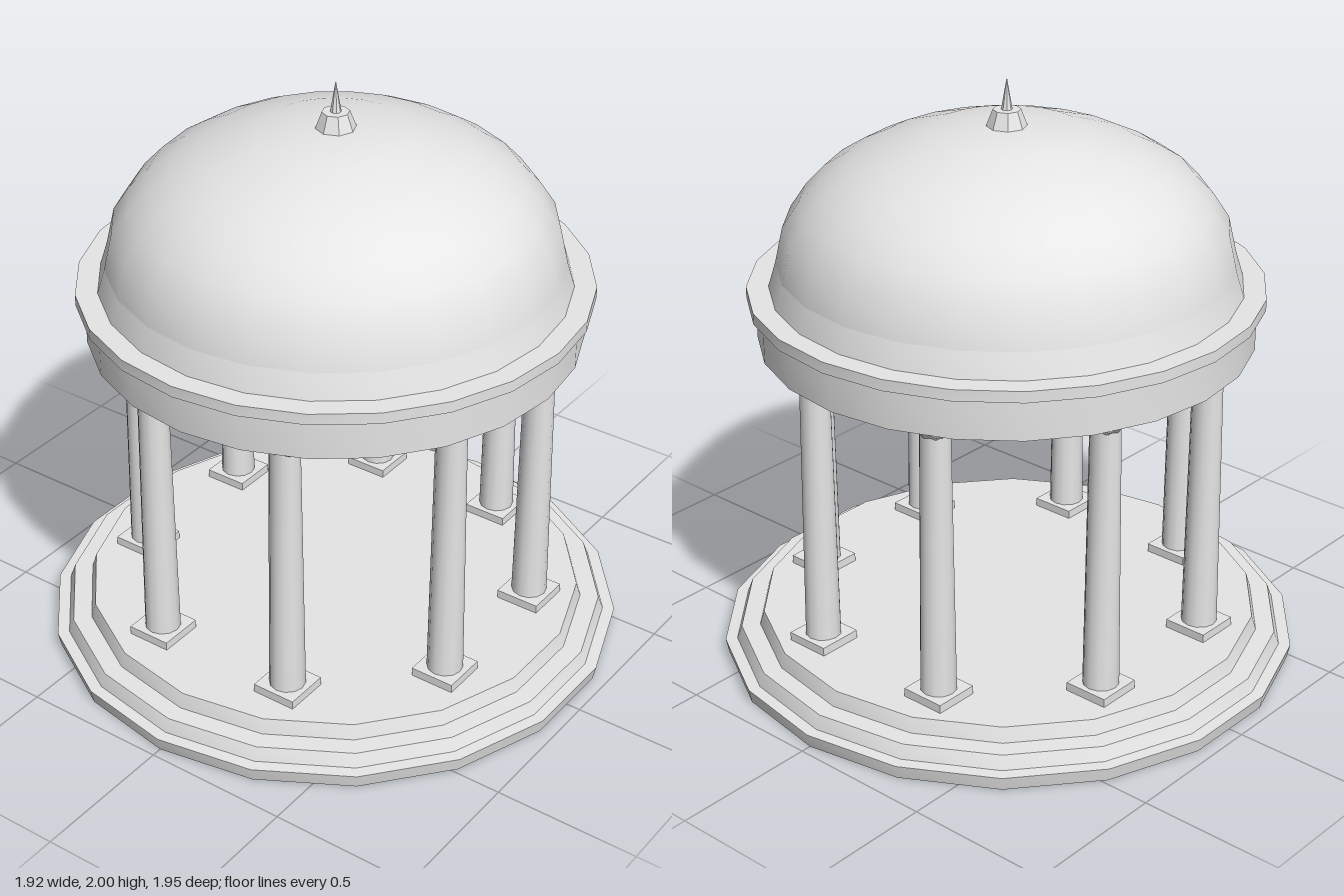
import * as THREE from 'three';
import { toCreasedNormals } from 'three/addons/utils/BufferGeometryUtils.js';

export function createModel() {
  const model = new THREE.Group();
  const stone = new THREE.MeshStandardMaterial({ color: 0xe6e6e6 });
  stone.name = 'paleStone';

  function add(parent, name, geometry, y = 0) {
    const mesh = new THREE.Mesh(geometry, stone);
    mesh.name = name;
    mesh.position.y = y;
    parent.add(mesh);
    return mesh;
  }
  // Upright frustum from y0 to y1
  function frustum(parent, name, y0, y1, r0, r1, sides, open = false) {
    const g = new THREE.CylinderGeometry(r1, r0, y1 - y0, sides, 1, open);
    return add(parent, name, toCreasedNormals(g, 0.7), (y0 + y1) / 2);
  }
  // Turned part from [radius, height] points, listed bottom to top on the outside
  function turned(parent, name, points, sides) {
    const profile = points.map(([r, y]) => new THREE.Vector2(r, y));
    return add(parent, name, toCreasedNormals(new THREE.LatheGeometry(profile, sides), 0.7));
  }
  function block(parent, name, size, y0, y1) {
    return add(parent, name, new THREE.BoxGeometry(size, y1 - y0, size), (y0 + y1) / 2);
  }

  // Stepped base with its floor and underside
  turned(model, 'steppedBase', [
    [0, 0], [0.965, 0], [0.975, 0.048], [0.935, 0.05], [0.918, 0.096],
    [0.855, 0.098], [0.84, 0.148], [0, 0.148],
  ], 18);

  // Everything above the base shares one slightly offset axis
  const upper = new THREE.Group();
  upper.name = 'rotunda';
  upper.position.set(-0.002, 0, -0.01);
  model.add(upper);

  // Ring of eight columns with square plinths and capitals
  for (let i = 0; i < 8; i++) {
    const a = (i + 0.5) * Math.PI / 4;
    const column = new THREE.Group();
    column.name = 'column' + (i + 1);
    column.position.set(Math.sin(a) * 0.68, 0, Math.cos(a) * 0.68);
    block(column, 'plinth', 0.155, 0.148, 0.177);
    frustum(column, 'shaft', 0.177, 1.09, 0.06, 0.05, 12, true);
    frustum(column, 'capital', 1.085, 1.12, 0.05, 0.075, 8, true);
    block(column, 'abacus', 0.155, 1.12, 1.142);
    upper.add(column);
  }

  // Thin hollow ring beam under a projecting cornice, whose underside is the ceiling
  turned(upper, 'ringBeam', [[0.805, 1.28], [0.805, 1.14], [0.812, 1.14], [0.812, 1.28]], 24);
  frustum(upper, 'cornice', 1.28, 1.318, 0.842, 0.842, 24);

  // Sloped drum and smooth dome
  turned(upper, 'drum', [[0.77, 1.318], [0.745, 1.4]], 24);
  turned(upper, 'dome', [
    [0.745, 1.4], [0.718, 1.52], [0.665, 1.6], [0.6, 1.67], [0.52, 1.722],
    [0.43, 1.767], [0.25, 1.828], [0.12, 1.844], [0, 1.848],
  ], 24);

  // Finial and spike
  frustum(upper, 'finialBase', 1.84, 1.9, 0.068, 0.045, 8);
  frustum(upper, 'finialSpike', 1.9, 2, 0.018, 0.001, 8);
  return model;
}
